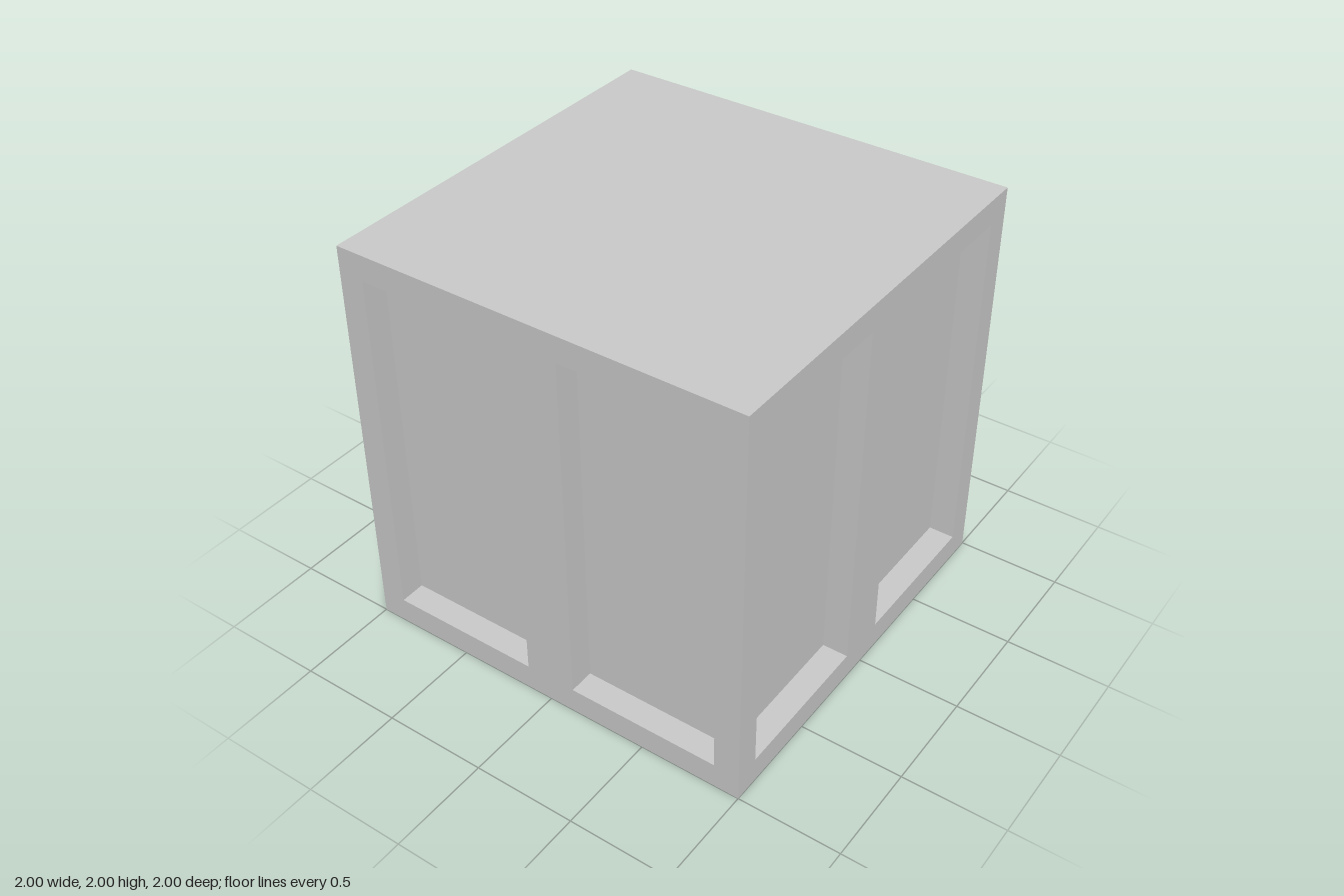
import * as THREE from 'three';
import { mergeGeometries } from 'three/addons/utils/BufferGeometryUtils.js';

const HALF = 1;          // half the cube's side
const BORDER = 0.125;    // width of the frame around each recess
const DEPTH = 0.125;     // how far the panels are sunk
const W = 0.75, H = 1.75; // recess opening
const CENTRES = [-0.5, 0.5];

const material = new THREE.MeshStandardMaterial({ color: 0xcccccc, flatShading: true });

function addMesh(parent, name, geometry) {
  const mesh = new THREE.Mesh(geometry, material);
  mesh.name = name;
  parent.add(mesh);
  return mesh;
}

// Flat frame with two rectangular openings, in the plane z = HALF
function frameGeometry() {
  const rect = (Type, x0, y0, x1, y1) => new Type([
    new THREE.Vector2(x0, y0), new THREE.Vector2(x1, y0),
    new THREE.Vector2(x1, y1), new THREE.Vector2(x0, y1),
  ]);
  const shape = rect(THREE.Shape, -HALF, 0, HALF, 2 * HALF);
  for (const cx of CENTRES) {
    shape.holes.push(rect(THREE.Path, cx - W / 2, BORDER, cx + W / 2, BORDER + H));
  }
  return new THREE.ShapeGeometry(shape).translate(0, 0, HALF);
}

// The four inward-facing walls of one opening
function wallGeometry(cx) {
  const walls = [
    new THREE.PlaneGeometry(DEPTH, H).rotateY(Math.PI / 2).translate(-W / 2, 0, 0),
    new THREE.PlaneGeometry(DEPTH, H).rotateY(-Math.PI / 2).translate(W / 2, 0, 0),
    new THREE.PlaneGeometry(W, DEPTH).rotateX(-Math.PI / 2).translate(0, -H / 2, 0),
    new THREE.PlaneGeometry(W, DEPTH).rotateX(Math.PI / 2).translate(0, H / 2, 0),
  ];
  return mergeGeometries(walls).translate(cx, HALF, HALF - DEPTH / 2);
}

export function createModel() {
  const model = new THREE.Group();
  model.name = 'panelledCube';

  // Four identical sides, each with two sunken panels
  ['front', 'left', 'back', 'right'].forEach((sideName, i) => {
    const side = new THREE.Group();
    side.name = `${sideName}Side`;
    side.rotation.y = i * Math.PI / 2;
    addMesh(side, 'frame', frameGeometry());
    for (const cx of CENTRES) {
      addMesh(side, 'recessWalls', wallGeometry(cx));
      addMesh(side, 'sunkenPanel', new THREE.PlaneGeometry(W, H))
        .position.set(cx, HALF, HALF - DEPTH);
    }
    model.add(side);
  });

  // Plain top and bottom
  const cap = () => new THREE.PlaneGeometry(2 * HALF, 2 * HALF);
  addMesh(model, 'top', cap().rotateX(-Math.PI / 2).translate(0, 2 * HALF, 0));
  addMesh(model, 'bottom', cap().rotateX(Math.PI / 2));

  return model;
}
